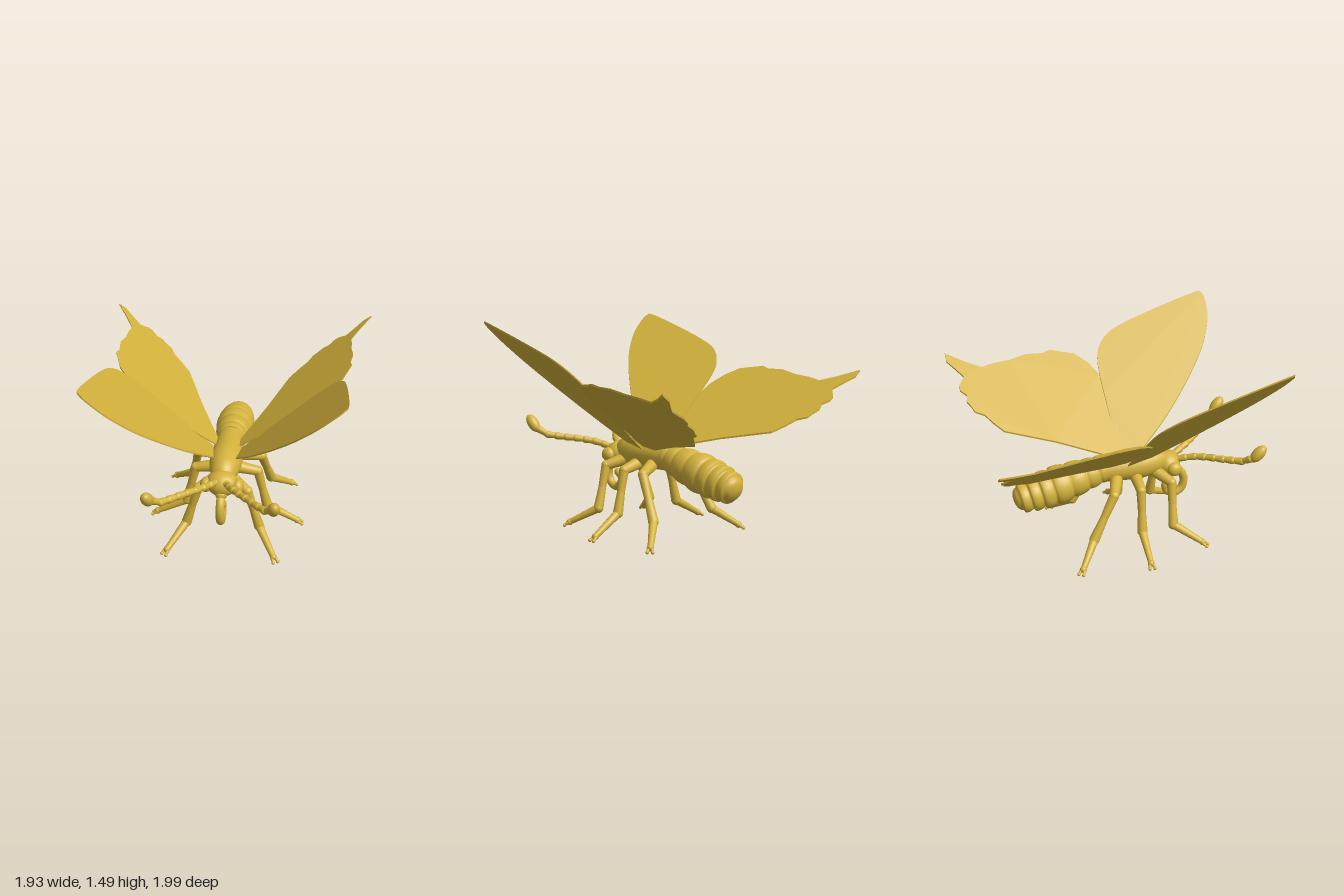
import * as THREE from 'three';

const gold = new THREE.MeshStandardMaterial({ color: 0xd4b23c });
const V = (x, y, z) => new THREE.Vector3(x, y, z);
const UP = V(0, 1, 0);

function add(parent, name, geometry) {
  const mesh = new THREE.Mesh(geometry, gold);
  mesh.name = name;
  parent.add(mesh);
  return mesh;
}

function ball(parent, name, p, rx, ry = rx, rz = rx) {
  const mesh = add(parent, name, new THREE.SphereGeometry(1, 24, 16));
  mesh.position.copy(p);
  mesh.scale.set(rx, ry, rz);
  return mesh;
}

// Tapered round bar from a to b
function bar(parent, name, a, b, ra, rb) {
  const dir = b.clone().sub(a);
  const mesh = add(parent, name, new THREE.CylinderGeometry(rb, ra, dir.length(), 16));
  mesh.position.copy(a).add(b).multiplyScalar(0.5);
  mesh.quaternion.setFromUnitVectors(UP, dir.normalize());
  return mesh;
}

// Turned body whose profile [distance, radius] runs from start along dir
function turned(parent, name, start, dir, profile) {
  const pts = profile.map(([t, r]) => new THREE.Vector2(r, t));
  const mesh = add(parent, name, new THREE.LatheGeometry(pts, 32));
  mesh.position.copy(start);
  mesh.quaternion.setFromUnitVectors(UP, dir.normalize());
  return mesh;
}

// Thin wing: outline [x, z] laid on the sloping plane y = h + a * |x| + b * z
function wing(parent, name, side, outline, smooth, [h, a, b]) {
  const pts = outline.map(([x, z]) => new THREE.Vector2(side * x, -z));
  const shape = new THREE.Shape();
  shape.moveTo(pts[0].x, pts[0].y);
  if (smooth) shape.splineThru(pts.slice(1));
  else pts.slice(1).forEach((p) => shape.lineTo(p.x, p.y));
  const geo = new THREE.ExtrudeGeometry(shape, { depth: 0.012, bevelEnabled: false, curveSegments: 48 });
  geo.rotateX(-Math.PI / 2);
  const pos = geo.attributes.position;
  for (let i = 0; i < pos.count; i++) {
    pos.setY(i, pos.getY(i) + h + a * Math.abs(pos.getX(i)) + b * pos.getZ(i));
  }
  geo.computeVertexNormals();
  add(parent, name, geo);
}

const foreOutline = [
  [0.07, 0.23], [0.1, 0.29], [0.2, 0.47], [0.34, 0.67], [0.49, 0.84], [0.62, 0.93], [0.72, 0.955],
  [0.79, 0.945], [0.81, 0.89], [0.805, 0.6], [0.79, 0.33], [0.765, 0.19], [0.7, 0.1], [0.6, 0.068],
  [0.4, 0.066], [0.1, 0.07],
];
const hindOutline = [
  [0.07, 0.07], [0.2, 0.1], [0.35, 0.11], [0.48, 0.1], [0.6, 0.07], [0.69, 0.015], [0.77, -0.07],
  [0.815, -0.2], [0.83, -0.24], [0.82, -0.3], [0.838, -0.42], [0.825, -0.55], [0.828, -0.66], [0.82, -0.76],
  [0.88, -0.87], [0.965, -1], [0.91, -1], [0.85, -0.95], [0.785, -0.9], [0.765, -0.915], [0.73, -0.948],
  [0.7, -0.945], [0.66, -0.905], [0.62, -0.917], [0.58, -0.89], [0.545, -0.875], [0.51, -0.81],
  [0.45, -0.765], [0.38, -0.7], [0.24, -0.36], [0.11, -0.09], [0.07, -0.01],
];

// Each leg: hip, knee, ankle, toe
const legs = {
  front: [[0.06, 0.49, 0.3], [0.17, 0.45, 0.375], [0.255, 0.15, 0.365], [0.37, 0.035, 0.55]],
  middle: [[0.06, 0.49, 0.14], [0.22, 0.455, 0.13], [0.29, 0.16, 0.12], [0.51, 0.035, 0.11]],
  hind: [[0.06, 0.5, 0], [0.23, 0.455, -0.07], [0.29, 0.16, -0.235], [0.44, 0.035, -0.36]],
};

function leg(parent, name, side, points) {
  const g = new THREE.Group();
  g.name = name;
  parent.add(g);
  const [hip, knee, ankle, toe] = points.map(([x, y, z]) => V(side * x, y, z));
  bar(g, 'thigh', hip, knee, 0.045, 0.034);
  ball(g, 'knee', knee, 0.035);
  const mid = knee.clone().lerp(ankle, 0.5);
  bar(g, 'upperShin', knee, mid, 0.034, 0.028);
  bar(g, 'lowerShin', mid, ankle, 0.028, 0.036);
  ball(g, 'ankle', ankle, 0.036);
  bar(g, 'foot', ankle, toe, 0.031, 0.02);
  ball(g, 'toe', toe, 0.024);
  // Pair of small claws
  const out = toe.clone().sub(ankle).setY(0).normalize();
  const across = V(-out.z, 0, out.x);
  for (const s of [-1, 1]) {
    const tip = toe.clone().addScaledVector(out, 0.035).addScaledVector(across, s * 0.018).setY(0.012);
    bar(g, 'claw', toe.clone().addScaledVector(across, s * 0.01), tip, 0.014, 0.008);
    ball(g, 'clawTip', tip, 0.012);
  }
}

function antenna(parent, name, side) {
  const g = new THREE.Group();
  g.name = name;
  parent.add(g);
  // The two antennae are splayed slightly differently
  const [sx, sz] = side > 0 ? [1, 1] : [1.07, 0.98];
  const curve = new THREE.CatmullRomCurve3(
    [[0.035, 0.555, 0.46], [0.09, 0.59, 0.57], [0.17, 0.61, 0.67], [0.26, 0.625, 0.77], [0.33, 0.64, 0.85], [0.37, 0.675, 0.885]]
      .map(([x, y, z]) => V(side * sx * x, y, z * sz)));
  const n = 8;
  for (let i = 0; i < n; i++) {
    const a = curve.getPointAt(i / n), b = curve.getPointAt((i + 1) / n);
    bar(g, 'antennaSegment', a, b, 0.019, 0.027);
    ball(g, 'antennaJoint', b, 0.026);
  }
  ball(g, 'antennaSocket', curve.getPoint(0), 0.03);
  const club = ball(g, 'antennaClub', V(side * sx * 0.388, 0.718, 0.936 * sz), 0.041, 0.074, 0.041);
  club.quaternion.setFromUnitVectors(UP, V(side * 0.12, 0.72, 0.6).normalize());
}

export function createModel() {
  const model = new THREE.Group();
  model.name = 'butterfly';

  // Thorax
  turned(model, 'thorax', V(0, 0.55, -0.16), V(0, 0.01, 1), [
    [0, 0], [0.005, 0.085], [0.06, 0.098], [0.16, 0.102], [0.27, 0.112], [0.36, 0.112], [0.45, 0.1], [0.53, 0.075], [0.57, 0],
  ]);

  // Abdomen: overlapping bulging rings
  const breaks = [0, 0.08, 0.175, 0.295, 0.415, 0.505, 0.585, 0.655];
  const radii = [0.1, 0.11, 0.127, 0.14, 0.137, 0.127, 0.112];
  const profile = [[0, 0]];
  radii.forEach((r, i) => {
    const t = breaks[i], len = breaks[i + 1] - t;
    for (const [f, k] of [[0, 0.88], [0.15, 0.93], [0.4, 0.985], [0.65, 1], [0.85, 0.98], [0.96, 0.93]]) {
      profile.push([t + f * len, r * k]);
    }
  });
  profile.push([0.657, 0.085], [0.675, 0.078], [0.69, 0.06], [0.7, 0.03], [0.703, 0]);
  turned(model, 'abdomen', V(0, 0.56, -0.05), V(0, -0.225, -0.974), profile);

  // Head, muzzle and coiled feeding tube
  ball(model, 'head', V(0, 0.52, 0.4), 0.11, 0.09, 0.095);
  ball(model, 'muzzle', V(0, 0.47, 0.45), 0.045, 0.04, 0.05);
  const coil = [[0.45, 0.45], [0.5, 0.435], [0.533, 0.37], [0.52, 0.295], [0.46, 0.258], [0.405, 0.285], [0.395, 0.34], [0.43, 0.37]]
    .map(([y, z]) => V(0, z, y));
  add(model, 'feedingTube', new THREE.TubeGeometry(new THREE.CatmullRomCurve3(coil), 48, 0.03, 14));
  ball(model, 'feedingTubeTip', coil[coil.length - 1], 0.03);

  // Paired parts
  for (const side of [1, -1]) {
    const label = side > 0 ? 'left' : 'right';
    ball(model, label + 'Eye', V(side * 0.108, 0.515, 0.42), 0.042, 0.052, 0.054);
    antenna(model, label + 'Antenna', side);
    for (const key of Object.keys(legs)) {
      leg(model, label + key[0].toUpperCase() + key.slice(1) + 'Leg', side, legs[key]);
    }
    wing(model, label + 'Forewing', side, foreOutline, true, [0.48, 0.92, 0.27]);
    wing(model, label + 'Hindwing', side, hindOutline, false, [0.54, 0.743, 0.111]);
  }
  return model;
}
